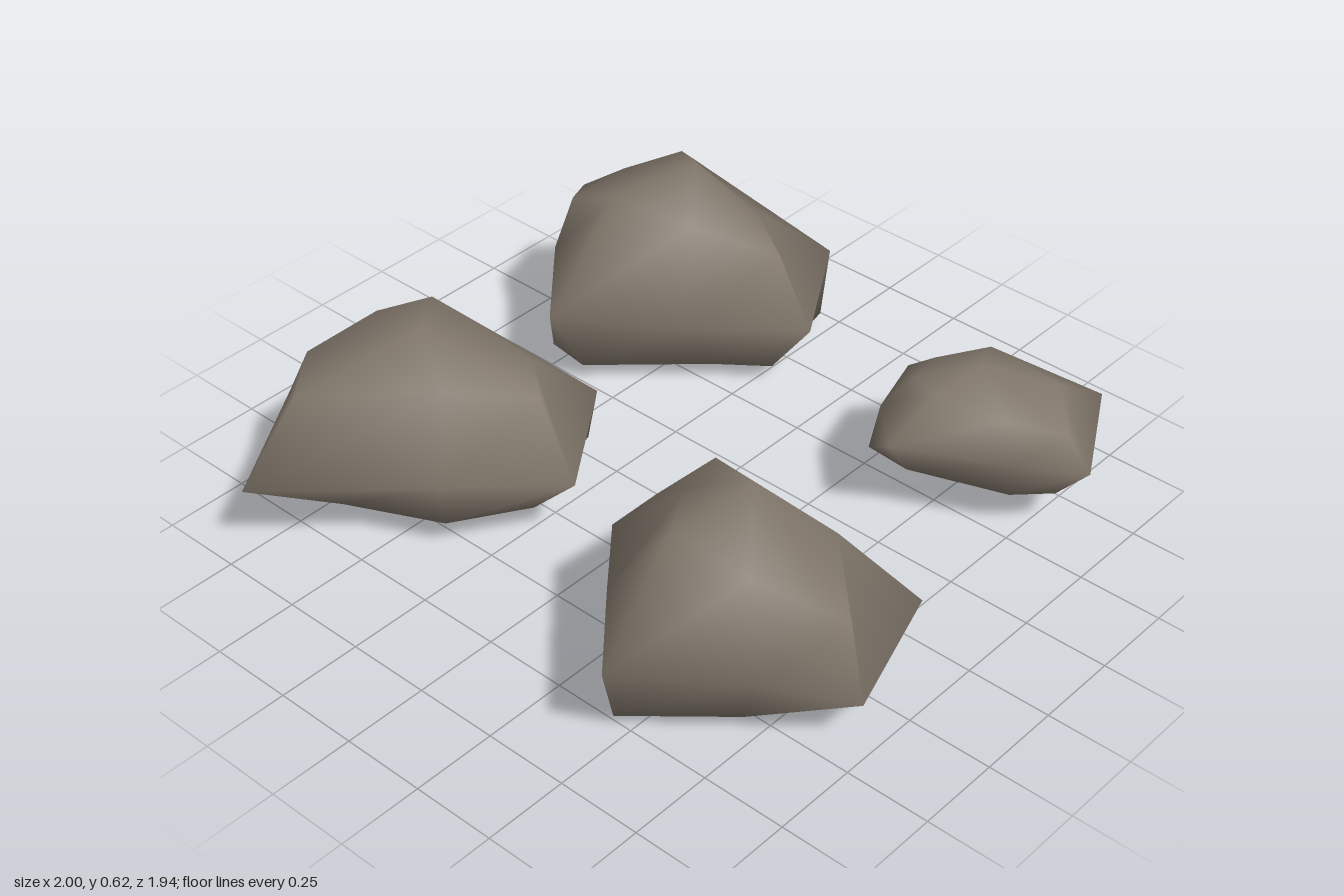
import * as THREE from 'three';

const SIDES = 7;

// Each ring runs back left, back right, right, front right, front tip, front left, left.
const rocks = {
  frontLeftRock: {
    base: [-.94, .1, .01, -.33, .1, .03, -.22, .1, .36, -.35, .1, .57, -.62, .1, .7, -.91, .1, .56, -1, .1, .23],
    waist: [-.93, .26, .01, -.31, .26, .01, -.07, .25, .35, -.32, .26, .61, -.7, .26, .97, -.91, .3, .61, -.94, .34, .25],
    shoulder: [-.76, .47, .2, -.42, .39, .15, -.22, .45, .32, -.42, .47, .5, -.72, .44, .75, -.82, .47, .61, -.79, .5, .38],
    crown: [-.6, .54, .38],
  },
  backLeftRock: {
    base: [-.82, .06, -.94, -.27, .06, -.93, -.2, .06, -.62, -.34, .06, -.51, -.62, .06, -.25, -.76, .06, -.27, -.93, .06, -.73],
    waist: [-.82, .17, -.97, -.25, .29, -.94, -.06, .25, -.62, -.32, .28, -.34, -.6, .32, -.1, -.8, .36, -.33, -.92, .41, -.58],
    shoulder: [-.72, .51, -.8, -.42, .42, -.8, -.18, .46, -.62, -.4, .53, -.48, -.6, .59, -.38, -.76, .53, -.37, -.77, .52, -.6],
    crown: [-.52, .625, -.64],
  },
  smallBackRightRock: {
    base: [.42, .16, -.83, .78, .13, -.85, .83, .14, -.6, .74, .14, -.51, .5, .19, -.36, .36, .19, -.37, .32, .18, -.65],
    waist: [.41, .23, -.87, .79, .32, -.85, .92, .24, -.62, .78, .28, -.47, .51, .33, -.26, .37, .32, -.4, .31, .32, -.6],
    shoulder: [.46, .36, -.78, .71, .36, -.76, .84, .33, -.62, .7, .37, -.51, .52, .41, -.44, .43, .41, -.47, .4, .39, -.6],
    crown: [.54, .418, -.63],
  },
  frontRightRock: {
    base: [.28, .04, .08, .8, .05, .1, .87, .03, .24, .72, .06, .57, .46, .04, .77, .3, .02, .55, .26, 0, .33],
    waist: [.27, .26, .07, .9, .24, .09, 1, .19, .45, .8, .26, .63, .55, .32, .9, .36, .34, .68, .21, .36, .5],
    shoulder: [.34, .5, .25, .69, .4, .18, .945, .42, .44, .72, .5, .56, .53, .585, .63, .45, .59, .5, .32, .49, .45],
    crown: [.58, .625, .38],
  },
};

// Smooth shell joining the underside, three rings and crown.
function makeRock({ base, waist, shoulder, crown }) {
  const centre = [0, 0, 0];
  base.forEach((v, i) => { centre[i % 3] += v / SIDES; });
  const points = [...base, ...waist, ...shoulder, ...crown, ...centre];
  const crownIndex = SIDES * 3;
  const centreIndex = crownIndex + 1;
  const faces = [];
  for (let i = 0; i < SIDES; i++) {
    const j = (i + 1) % SIDES;
    for (let ring = 0; ring < 2; ring++) {
      const low = ring * SIDES, high = low + SIDES;
      faces.push(low + i, high + i, low + j, low + j, high + i, high + j);
    }
    faces.push(2 * SIDES + i, crownIndex, 2 * SIDES + j);
    faces.push(i, j, centreIndex);
  }
  const geometry = new THREE.BufferGeometry();
  geometry.setAttribute('position', new THREE.Float32BufferAttribute(points, 3));
  geometry.setIndex(faces);
  geometry.computeVertexNormals();
  return geometry;
}

export function createModel() {
  const model = new THREE.Group();
  model.name = 'rocks';
  const stone = new THREE.MeshStandardMaterial({ color: 0x80766a });
  stone.name = 'stone';
  for (const [name, rings] of Object.entries(rocks)) {
    const rock = new THREE.Mesh(makeRock(rings), stone);
    rock.name = name;
    model.add(rock);
  }
  return model;
}
